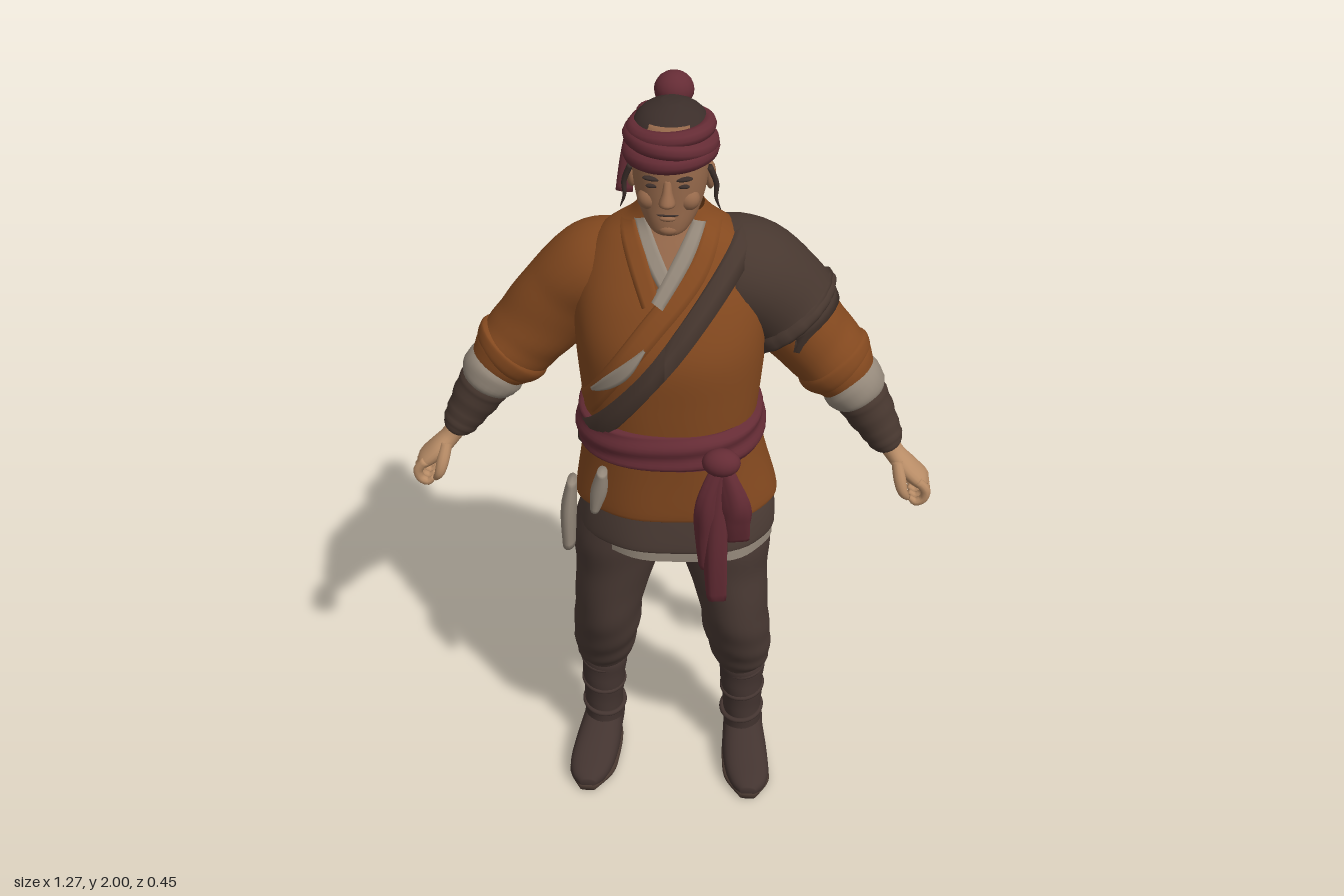
import * as THREE from 'three';

const cloth = (name, color) => new THREE.MeshStandardMaterial({ name, color, side: THREE.DoubleSide });
const M = {
  jacket: cloth('rust cloth', 0x84491f),
  leather: cloth('dark leather', 0x47372f),
  under: cloth('brown underskirt', 0x4d3d36),
  trousers: cloth('brown trousers', 0x4a3a34),
  boots: cloth('dark boots', 0x433430),
  sash: cloth('maroon cloth', 0x652c35),
  linen: cloth('linen', 0x94887a),
  face: cloth('tanned face', 0x96694b),
  hand: cloth('hand skin', 0xb88c66),
  hair: cloth('dark hair', 0x3b2e2a),
};

// Catmull-Rom through rows of numbers
function smooth(rows, sub) {
  const out = [], n = rows.length - 1;
  for (let i = 0; i < n; i++) for (let k = 0; k < sub + (i === n - 1 ? 1 : 0); k++) {
    const t = k / sub, a = rows[Math.max(i - 1, 0)], b = rows[i], c = rows[i + 1], d = rows[Math.min(i + 2, n)];
    out.push(b.map((v, j) => v + 0.5 * t * (c[j] - a[j] + t * (2 * a[j] - 5 * v + 4 * c[j] - d[j] + t * (3 * (v - c[j]) + d[j] - a[j])))));
  }
  return out;
}

// Surface over a grid of points
function grid(rows, closed, flip) {
  const n = rows[0].length, pos = [], idx = [];
  rows.forEach(r => r.forEach(v => pos.push(v.x, v.y, v.z)));
  for (let i = 0; i < rows.length - 1; i++) for (let j = 0; j < (closed ? n : n - 1); j++) {
    const a = i * n + j, b = i * n + (j + 1) % n, c = a + n, d = b + n;
    if (flip) idx.push(a, d, b, a, c, d); else idx.push(a, b, d, a, d, c);
  }
  const g = new THREE.BufferGeometry();
  g.setAttribute('position', new THREE.Float32BufferAttribute(pos, 3));
  g.setIndex(idx);
  g.computeVertexNormals();
  return g;
}

const pw = (v, p) => Math.sign(v) * Math.abs(v) ** p;

// Skin over rings [x, y, z, a, b]; frame 'y' = level rings, 'z' = upright rings, 'path' = follows the path
function loft(rings, { frame = 'path', seg = 28, sub = 5, p = 1, cap = true, warp } = {}) {
  const R = smooth(rings, sub), C = R.map(r => new THREE.Vector3(r[0], r[1], r[2]));
  let flip = false;
  const rows = R.map((r, i) => {
    const T = C[Math.min(i + 1, C.length - 1)].clone().sub(C[Math.max(i - 1, 0)]).normalize();
    let A = new THREE.Vector3(1, 0, 0), B = new THREE.Vector3(0, frame === 'z' ? 1 : 0, frame === 'z' ? 0 : 1);
    if (frame === 'path') { A = T.clone().cross(B).normalize(); B = A.clone().cross(T); }
    flip = A.clone().cross(B).dot(T) < 0;
    return Array.from({ length: seg }, (_, j) => {
      const th = j / seg * Math.PI * 2, k = warp ? 1 + warp(i / (R.length - 1), th) : 1;
      return C[i].clone().addScaledVector(A, Math.max(r[3], 0) * k * pw(Math.cos(th), p))
        .addScaledVector(B, Math.max(r[4], 0) * k * pw(Math.sin(th), p));
    });
  });
  if (cap) { rows.unshift(rows[0].map(() => C[0])); rows.push(rows[0].map(() => C[C.length - 1])); }
  return grid(rows, true, flip);
}

// Torso profile, also used to lay strips on the chest
const TP = 0.88;
const TORSO = [[0, 1.18, -.01, .2, .168], [0, 1.3, -.015, .213, .183], [0, 1.42, -.02, .222, .192], [0, 1.52, -.035, .222, .175],
  [0, 1.6, -.045, .2, .143], [0, 1.66, -.045, .158, .105], [0, 1.7, -.045, .1, .08], [0, 1.73, -.04, .073, .068]];
const DENSE = smooth(TORSO, 8);
function torsoAt(y) {
  let i = 0;
  while (i < DENSE.length - 2 && DENSE[i + 1][1] < y) i++;
  const a = DENSE[i], b = DENSE[i + 1], t = THREE.MathUtils.clamp((y - a[1]) / (b[1] - a[1]), 0, 1);
  return a.map((v, k) => v + (b[k] - v) * t);
}
function onChest(x, y, off) {
  const [, , cz, rx, rz] = torsoAt(y), u = Math.min(Math.abs(x) / rx, 1);
  return new THREE.Vector3(x, y, cz + rz * (1 - u ** (2 / TP)) ** (TP / 2) + off);
}
// Strip over the chest along points [x, y, width]
function chestStrip(pts, off) {
  const P = smooth(pts, 8);
  return grid(P.map((q, i) => {
    const a = P[Math.max(i - 1, 0)], b = P[Math.min(i + 1, P.length - 1)];
    const dx = b[0] - a[0], dy = b[1] - a[1], l = Math.hypot(dx, dy);
    return [-.5, -.49, -.25, 0, .25, .49, .5].map((s, j) => onChest(q[0] - dy / l * s * q[2], q[1] + dx / l * s * q[2], j % 6 ? off : 0));
  }), false, false);
}
// Belt running round the torso on a tilted plane
function slantBelt(y0, k, w, off) {
  const rows = [];
  for (let i = 0; i <= 72; i++) {
    const th = i / 72 * Math.PI * 2, s = pw(Math.sin(th), TP), c = pw(Math.cos(th), TP);
    const at = (dy, o) => {
      let lo = 1.1, hi = 1.73;
      for (let n = 0; n < 30; n++) { const m = (lo + hi) / 2; if (m - y0 - dy - k * torsoAt(m)[3] * s < 0) lo = m; else hi = m; }
      const [, y, cz, rx, rz] = torsoAt(lo);
      return new THREE.Vector3((rx + o) * s, y + o * .4, cz + (rz + o) * c);
    };
    rows.push([at(-w, -.004), at(-w, off), at(0, off + .003), at(w, off), at(w, -.004)]);
  }
  return grid(rows, false, false);
}

export function createModel() {
  const root = new THREE.Group();
  const add = (name, geo, mat, parent = root) => {
    const m = new THREE.Mesh(geo, mat);
    m.name = name;
    parent.add(m);
    return m;
  };
  const ball = (name, mat, x, y, z, sx, sy, sz) => {
    const m = add(name, new THREE.SphereGeometry(1, 18, 12), mat);
    m.position.set(x, y, z);
    m.scale.set(sx, sy, sz);
    return m;
  };
  const ring = (name, mat, r, tube, x, y, z, zs, tiltX = 0, tiltZ = 0) => {
    const m = add(name, new THREE.TorusGeometry(r, tube, 10, 40), mat);
    m.position.set(x, y, z);
    m.scale.set(1, zs, 1);
    m.rotation.set(Math.PI / 2 + tiltX, tiltZ, 0);
  };
  const crease = (u, th) => .012 * Math.sin(th * 3 + u * 14) + .012 * Math.sin(u * 40 + th * 2) * u;
  const pleat = (u, th) => .018 * u * Math.sin(th * 7 + 1) + .01 * u * Math.sin(th * 3);

  // Jacket body and skirts
  add('jacketBody', loft(TORSO, { frame: 'y', seg: 48, p: TP, cap: false }), M.jacket);
  add('jacketSkirt', loft([[0, 1.22, -.01, .2, .175], [.005, 1.1, -.02, .222, .178], [.012, .985, -.03, .246, .183], [.012, .98, -.03, .236, .173]],
    { frame: 'y', seg: 56, p: .85, cap: false, warp: pleat }), M.jacket);
  add('underSkirt', loft([[.01, 1.08, -.025, .2, .16], [.015, .97, -.028, .235, .174], [.015, .885, -.027, .242, .177], [.015, .88, -.027, .23, .167]],
    { frame: 'y', seg: 56, p: .85, cap: false, warp: pleat }), M.under);
  add('linenHem', loft([[.02, .95, -.026, .22, .16], [.025, .9, -.022, .226, .168], [.025, .853, -.02, .226, .168]],
    { frame: 'y', seg: 56, p: .85, cap: false, warp: pleat }), M.linen);

  // Collar, lapel and linen lining
  add('throat', chestStrip([[0, 1.725, .11], [0, 1.67, .08], [0, 1.6, .01]], .006), M.face);
  add('collarLinen', chestStrip([[-.066, 1.715, .03], [-.035, 1.65, .036], [.005, 1.585, .03]], .011), M.linen);
  add('collarLinen', chestStrip([[.066, 1.715, .03], [.035, 1.65, .036], [-.02, 1.56, .03]], .015), M.linen);
  add('lapel', chestStrip([[-.095, 1.7, .04], [-.068, 1.64, .045], [-.035, 1.56, .04]], .013), M.jacket);
  add('lapel', chestStrip([[.095, 1.7, .04], [.06, 1.62, .05], [-.04, 1.5, .05], [-.12, 1.39, .045], [-.19, 1.27, .04]], .014), M.jacket);
  add('liningEdge', chestStrip([[-.045, 1.47, .006], [-.09, 1.415, .03], [-.13, 1.375, .028], [-.172, 1.335, .006]], .019), M.linen);
  add('shoulderStrap', slantBelt(1.435, 1.38, .04, .014), M.leather);

  // Sash with knot and hanging ends
  add('sash', loft([[0, 1.14, -.012, .208, .18], [0, 1.155, -.012, .224, .196], [0, 1.19, -.012, .224, .198], [0, 1.225, -.012, .217, .194], [0, 1.238, -.012, .2, .178]],
    { frame: 'y', seg: 56, p: .88, cap: false, warp: (u, th) => .018 * Math.sin(u * 18 + th * 2) }), M.sash);
  ball('sashKnot', M.sash, .13, 1.185, .185, .045, .034, .034);
  [[.12, .76, .024], [.165, .95, .03], [.098, .86, .022]].forEach(([x, y, w], i) =>
    add('sashEnd', loft([[.13, 1.19, .19, .016, .012], [x, 1.08, .192 + i * .006, w, .014], [x, (y + 1.08) / 2, .185, w * 1.15, .014], [x + .005, y, .168, w, .01]],
      { seg: 16, warp: (u, th) => .15 * Math.sin(th * 4 + u * 4) }), M.sash));

  // Torn cloth at the right hip
  add('hipRag', loft([[-.235, 1.03, .06, .012, .025], [-.247, .94, .06, .02, .035], [-.25, .83, .06, .016, .03]], { seg: 14 }), M.linen);
  add('slitLining', loft([[-.15, 1.12, .148, .012, .02], [-.16, 1.06, .143, .02, .02], [-.172, 1.0, .136, .012, .02]], { seg: 14 }), M.linen);
  add('strapEnd', loft([[-.19, 1.18, -.11, .02, .025], [-.21, 1.1, -.13, .03, .03], [-.22, 1.02, -.13, .024, .024]], { seg: 14 }), M.leather);

  for (const s of [1, -1]) {
    const mir = rows => rows.map(([x, ...r]) => [x * s, ...r]);
    // Arm
    add('sleeve', loft(mir([[.08, 1.56, -.05, .1, .115], [.17, 1.545, -.07, .11, .122], [.25, 1.47, -.08, .107, .11], [.335, 1.37, -.08, .097, .1],
      [.395, 1.305, -.068, .088, .09], [.43, 1.265, -.06, .066, .07]]), { sub: 8, warp: crease }), M.jacket);
    add('sleeveRoll', loft(mir([[.36, 1.345, -.075, .075, .08], [.378, 1.323, -.073, .098, .098], [.4, 1.3, -.068, .09, .092], [.415, 1.285, -.065, .07, .075]])), M.jacket);
    add('linenCuff', loft(mir([[.405, 1.29, -.062, .066, .07], [.425, 1.268, -.06, .077, .08], [.448, 1.238, -.056, .07, .073], [.456, 1.226, -.055, .05, .055]]), { warp: crease }), M.linen);
    add('bracer', loft(mir([[.44, 1.25, -.056, .058, .064], [.463, 1.213, -.053, .062, .066], [.5, 1.155, -.04, .05, .053], [.522, 1.12, -.03, .041, .045], [.526, 1.113, -.029, .03, .035]]),
      { warp: (u, th) => .03 * Math.sin(u * 38) }), M.leather);
    // Hand with curled fingers
    add('palm', loft(mir([[.51, 1.14, -.03, .028, .032], [.54, 1.095, -.02, .024, .03], [.573, 1.062, -.008, .025, .042], [.605, 1.035, -.003, .021, .044], [.618, 1.022, -.002, .012, .036]]), { seg: 20 }), M.hand);
    for (let f = 0; f < 4; f++) {
      const z = -.036 + f * .023;
      add('finger', loft(mir([[.6, 1.045, z, .011, .012], [.62, 1.02, z, .012, .012], [.617, .995, z, .011, .0115], [.598, .985, z, .01, .011], [.583, .998, z, .006, .007]]), { seg: 10, sub: 3 }), M.hand);
    }
    add('thumb', loft(mir([[.548, 1.085, .012, .014, .016], [.556, 1.05, .036, .015, .015], [.565, 1.02, .045, .012, .012], [.578, .998, .036, .007, .008]]), { seg: 12 }), M.hand);

    // Leg
    add('trouserLeg', loft(mir([[.11, .94, -.025, .11, .135], [.128, .84, -.028, .121, .135], [.142, .73, -.03, .105, .122], [.163, .6, -.034, .09, .117], [.172, .5, -.055, .089, .112],
      [.182, .42, -.083, .084, .106], [.186, .36, -.095, .077, .088], [.19, .325, -.095, .058, .062]]),
      { frame: 'y', sub: 8, warp: (u, th) => .025 * Math.sin(u * 36 + th * s * 2) * u + .01 * Math.sin(th * 3 + u * 8) }), M.trousers);
    add('bootShaft', loft(mir([[.19, .35, -.095, .05, .056], [.19, .325, -.095, .062, .065], [.192, .25, -.095, .058, .062], [.195, .16, -.098, .053, .06], [.197, .09, -.105, .052, .066], [.198, .04, -.11, .052, .068]]),
      { frame: 'y', warp: (u, th) => .02 * Math.sin(u * 30 + th) }), M.boots);
    [.315, .235, .15].forEach(y => ring('bootWrap', M.boots, .055, .007, s * .193, y, -.096, 1.1, .08, .1 * s));
    add('foot', loft(mir([[.196, .05, -.187, .028, .035], [.198, .056, -.165, .053, .054], [.2, .062, -.1, .056, .06], [.207, .052, -.02, .062, .05], [.217, .038, .05, .06, .036], [.222, .03, .095, .045, .026], [.222, .026, .12, .02, .013]]),
      { frame: 'z', p: .85 }), M.boots);
    add('sole', loft(mir([[.196, .009, -.19, .03, .009], [.2, .009, -.1, .056, .009], [.21, .009, .0, .064, .009], [.218, .009, .06, .06, .009], [.222, .011, .122, .022, .009]]),
      { frame: 'z', p: .6 }), M.leather);

    // Side of the face
    ball('ear', M.face, s * .086, 1.805, -.02, .012, .032, .02);
    ball('eye', M.hair, s * .033, 1.824, .084, .014, .005, .007);
    const brow = ball('brow', M.hair, s * .034, 1.841, .085, .02, .005, .009);
    brow.rotation.z = s * .12;
    ball('cheek', M.face, s * .042, 1.785, .06, .026, .025, .026);
    add('hairWisp', loft(mir([[.085, 1.84, .015, .007, .01], [.1, 1.8, .01, .006, .007], [.1, 1.765, .01, .004, .005], [.11, 1.735, .005, .001, .001]]), { seg: 8 }), M.hair);
  }

  // Leather pad on the left shoulder
  add('shoulderPad', loft([[.1, 1.565, -.05, .105, .115], [.115, 1.562, -.055, .122, .134], [.18, 1.54, -.068, .125, .138], [.25, 1.475, -.08, .122, .126], [.285, 1.435, -.08, .115, .12], [.288, 1.43, -.08, .1, .105]]), M.leather);
  add('padEdge', loft([[.262, 1.46, -.08, .118, .122], [.27, 1.45, -.08, .128, .131], [.282, 1.437, -.08, .127, .13], [.29, 1.428, -.08, .105, .11]],
    { seg: 56, warp: (u, th) => .012 * Math.sin(th * 18) }), M.leather);

  // Neck and head
  add('neck', loft([[0, 1.62, -.045, .065, .06], [0, 1.7, -.035, .06, .06], [0, 1.78, -.025, .06, .065]], { frame: 'y' }), M.face);
  add('head', loft([[0, 1.703, .05, .022, .025], [0, 1.712, .042, .04, .047], [0, 1.735, .022, .058, .07], [0, 1.77, .005, .073, .086], [0, 1.81, -.004, .081, .096], [0, 1.85, -.01, .084, .102],
    [0, 1.9, -.015, .083, .1], [0, 1.94, -.022, .06, .075]], { frame: 'y', p: .92 }), M.face);
  add('nose', loft([[0, 1.838, .086, .008, .008], [0, 1.815, .096, .011, .014], [0, 1.793, .103, .018, .022], [0, 1.783, .096, .014, .014]], { frame: 'y', seg: 14 }), M.face);
  ball('chin', M.face, 0, 1.722, .073, .026, .017, .022);
  ball('mouth', M.hair, 0, 1.758, .087, .024, .003, .007);
  ball('lowerLip', M.face, 0, 1.75, .085, .02, .007, .011);
  add('hair', loft([[0, 1.745, -.06, .035, .025], [0, 1.77, -.055, .068, .055], [0, 1.82, -.05, .086, .073], [0, 1.87, -.035, .092, .092], [0, 1.92, -.028, .085, .09], [0, 1.95, -.034, .062, .068], [0, 1.967, -.04, .02, .025]], { frame: 'y' }), M.hair);

  // Headband, topknot and tails
  ring('headband', M.sash, .086, .02, 0, 1.872, -.012, 1.14, .0, .05);
  ring('headband', M.sash, .085, .02, 0, 1.895, -.014, 1.13, -.06, -.1);
  ring('headband', M.sash, .08, .018, 0, 1.918, -.016, 1.12, -.04, .06);
  ball('topknot', M.sash, 0, 1.96, -.112, .044, .04, .044);
  ring('topknotTie', M.hair, .03, .012, 0, 1.935, -.098, 1, -.5);
  ball('bandKnot', M.sash, -.05, 1.9, -.128, .035, .025, .024);
  [[-.115, 1.705, -.145], [-.07, 1.74, -.155]].forEach(([x, y, z]) =>
    add('bandTail', loft([[-.05, 1.905, -.13, .013, .01], [x * .75, 1.87, z - .008, .016, .01], [x * .92, 1.79, z, .017, .011], [x, y, z + .01, .02, .009]], { seg: 14 }), M.sash));

  return root;
}
